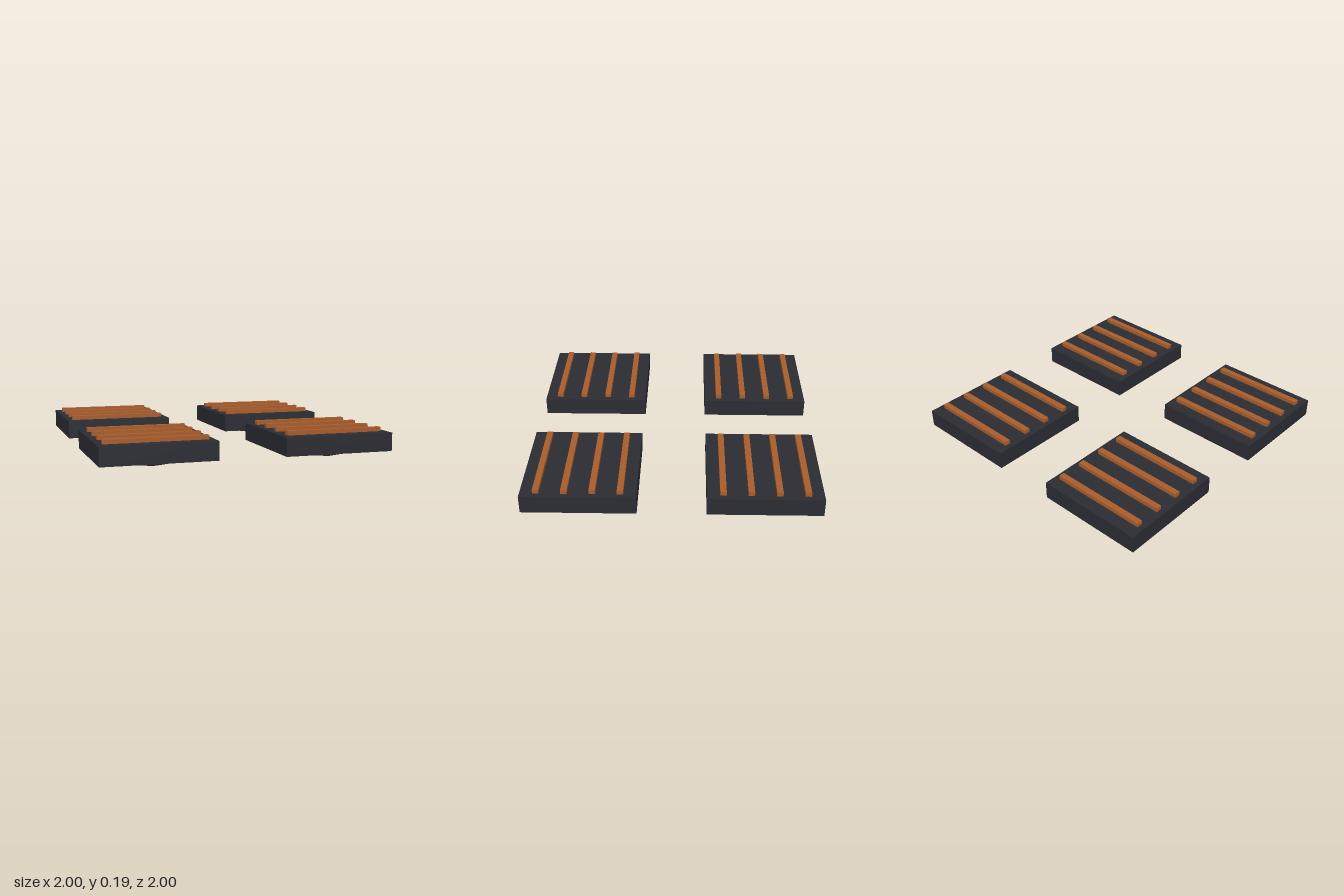
import * as THREE from 'three';

const SLAB = 0.77, SLAB_BOTTOM = 0.04, SLAB_TOP = 0.166;
const CENTRE = 1 - SLAB / 2;

function material(color) {
  return new THREE.MeshStandardMaterial({ color, flatShading: true });
}

function addMesh(parent, name, geometry, mat, x, y, z) {
  const mesh = new THREE.Mesh(geometry, mat);
  mesh.name = name;
  mesh.position.set(x, y, z);
  parent.add(mesh);
}

export function createModel() {
  const model = new THREE.Group();
  model.name = 'padSet';

  const slabMat = material(0x2a2c32);
  const railMat = material(0xa85c2a);
  const ringMat = material(0x4a3a2a);

  const slabGeo = new THREE.BoxGeometry(SLAB, SLAB_TOP - SLAB_BOTTOM, SLAB);
  const railGeo = new THREE.BoxGeometry(0.69, 0.03, 0.042);
  // Eight-sided ring with a triangular section: sloped outside, upright inside
  const ringGeo = new THREE.TorusGeometry(0.246, 0.046, 3, 8).rotateX(Math.PI / 2);

  for (const sx of [-1, 1]) {
    for (const sz of [-1, 1]) {
      const pad = new THREE.Group();
      pad.name = (sz > 0 ? 'front' : 'back') + (sx > 0 ? 'Left' : 'Right') + 'Pad';
      pad.position.set(sx * CENTRE, 0, sz * CENTRE);

      addMesh(pad, 'slab', slabGeo, slabMat, 0, (SLAB_TOP + SLAB_BOTTOM) / 2, 0);
      // Four grip rails along x
      for (let i = 0; i < 4; i++) {
        addMesh(pad, 'rail', railGeo, railMat, 0, SLAB_TOP + 0.014, (i - 1.5) * 0.185);
      }
      // Ring set into the underside
      addMesh(pad, 'baseRing', ringGeo, ringMat, 0, SLAB_BOTTOM, 0);
      model.add(pad);
    }
  }
  return model;
}
